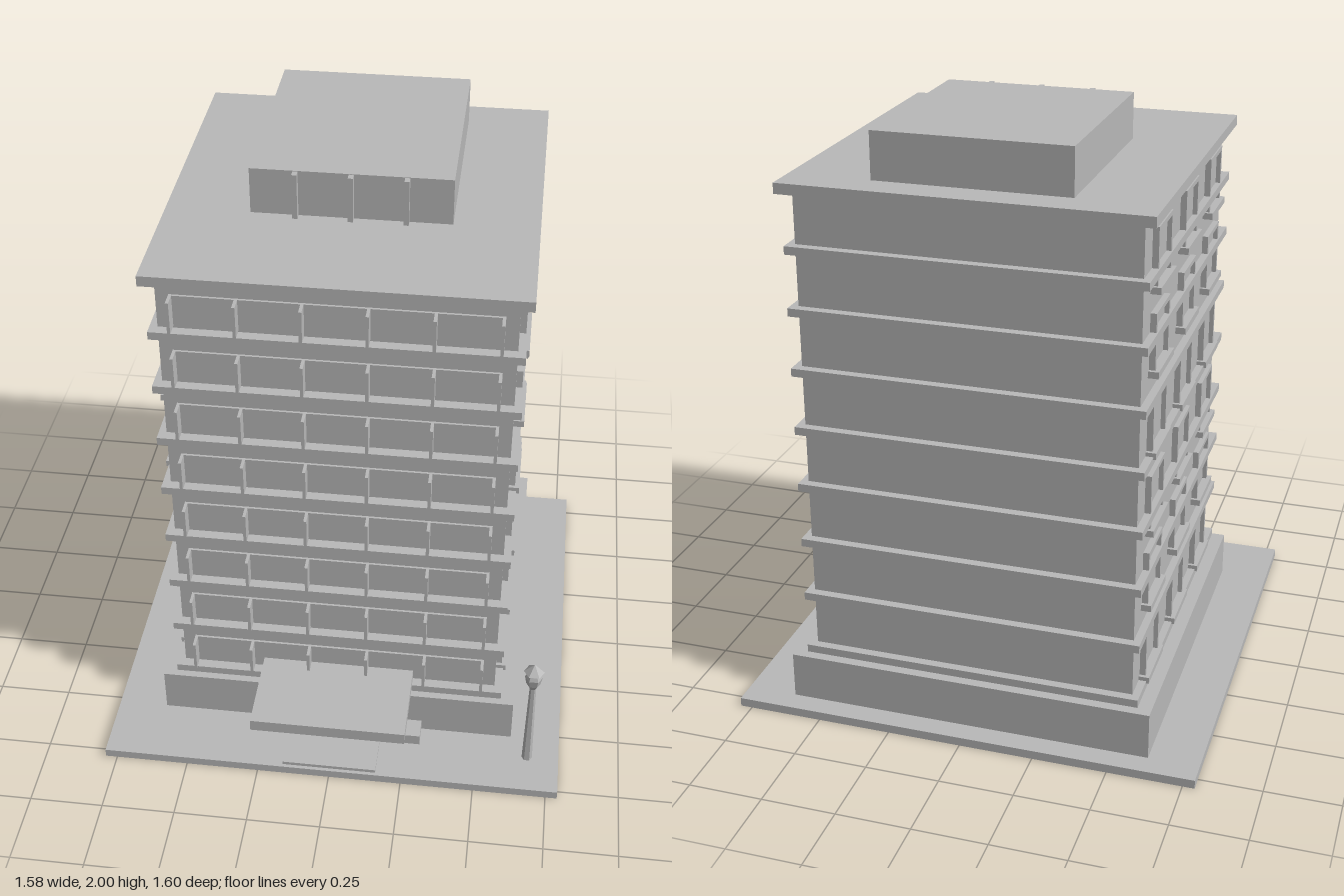
import * as THREE from 'three';

export function createModel() {
  const model = new THREE.Group();
  const grey = new THREE.MeshStandardMaterial({ color: 0xb8b8b8 });
  grey.name = 'concreteGrey';

  const add = (name, geometry, parent = model) => {
    const mesh = new THREE.Mesh(geometry, grey);
    mesh.name = name;
    parent.add(mesh);
    return mesh;
  };
  // Box given by its limits on each axis
  const box = (name, x0, x1, y0, y1, z0, z1, parent) =>
    add(name, new THREE.BoxGeometry(x1 - x0, y1 - y0, z1 - z0), parent)
      .position.set((x0 + x1) / 2, (y0 + y1) / 2, (z0 + z1) / 2);
  const group = (name) => {
    const g = new THREE.Group();
    g.name = name;
    model.add(g);
    return g;
  };

  // Main masses
  box('groundPlate', -0.79, 0.79, 0, 0.03, -0.8, 0.78);
  box('podium', -0.62, 0.62, 0.03, 0.19, -0.725, 0.545);
  box('tower', -0.55, 0.55, 0.19, 1.81, -0.67, 0.49);
  box('roofSlab', -0.592, 0.592, 1.81, 1.845, -0.713, 0.533);
  box('penthouse', -0.32, 0.32, 1.845, 2, -0.602, 0.115);
  for (const x of [-0.175, 0, 0.175])
    box('penthouseFin', x - 0.008, x + 0.008, 1.845, 1.998, 0.115, 0.14);

  // Floor slabs with the front window bands above them
  for (let i = 0; i < 8; i++) {
    const floor = group('floor' + (i + 1));
    const y = 0.196 + i * 0.2027;
    box('floorSlab', -0.575, 0.575, y, y + 0.027, -0.7, 0.525, floor);
    box('windowBand', -0.503, 0.503, y + 0.039, y + 0.147, 0.49, 0.498, floor);
    for (let k = 0; k < 6; k++) {
      const x = -0.503 + k * 0.2012;
      box('windowFin', x - 0.005, x + 0.005, y + 0.039, y + 0.147, 0.49, 0.543, floor);
    }
  }

  // Side windows, mirrored on both flanks
  for (const side of [-1, 1])
    for (let row = 0; row < 6; row++)
      for (const z of [0.297, -0.09, -0.477]) {
        const win = group('sideWindow');
        win.position.set(side * 0.55, 0.215 + row * 0.27, z);
        if (side < 0) win.rotation.y = Math.PI;
        box('pane', 0, 0.005, 0.02, 0.19, -0.08, 0.08, win);
        box('frameTop', 0, 0.02, 0.19, 0.205, -0.094, 0.094, win);
        for (const s of [-0.0865, 0.0865])
          box('framePost', 0, 0.02, 0.02, 0.19, s - 0.0075, s + 0.0075, win);
        box('sill', 0, 0.034, 0, 0.022, -0.106, 0.106, win);
      }

  // Entrance: steps, doors, post and canopy
  const entrance = group('entrance');
  box('landing', -0.302, 0.302, 0.03, 0.07, 0.545, 0.62, entrance);
  box('lowStep', -0.162, 0.162, 0.03, 0.042, 0.62, 0.768, entrance);
  box('canopy', -0.263, 0.263, 0.225, 0.268, 0.49, 0.8, entrance);
  box('canopyPost', -0.012, 0.012, 0.07, 0.225, 0.56, 0.6, entrance);
  for (const x of [-0.09, 0.09]) {
    box('door', x - 0.062, x + 0.062, 0.07, 0.19, 0.545, 0.549, entrance);
    box('doorHead', x - 0.07, x + 0.07, 0.19, 0.225, 0.525, 0.555, entrance);
    for (const s of [-0.066, 0.066])
      box('doorJamb', x + s - 0.004, x + s + 0.004, 0.07, 0.19, 0.545, 0.555, entrance);
  }

  // Street lamp
  const lamp = group('streetLamp');
  lamp.position.set(0.68, 0, 0.632);
  const hex = (name, top, bottom, y0, y1) => {
    const g = new THREE.CylinderGeometry(top, bottom, y1 - y0, 6).toNonIndexed();
    g.computeVertexNormals();
    g.rotateY(Math.PI / 6);
    add(name, g, lamp).position.y = (y0 + y1) / 2;
  };
  hex('pole', 0.011, 0.018, 0.03, 0.385);
  hex('lanternBase', 0.024, 0.013, 0.375, 0.395);
  hex('lantern', 0.03, 0.024, 0.395, 0.425);
  hex('lanternNeck', 0.02, 0.03, 0.425, 0.45);
  hex('lanternCap', 0.001, 0.035, 0.45, 0.482);

  return model;
}
